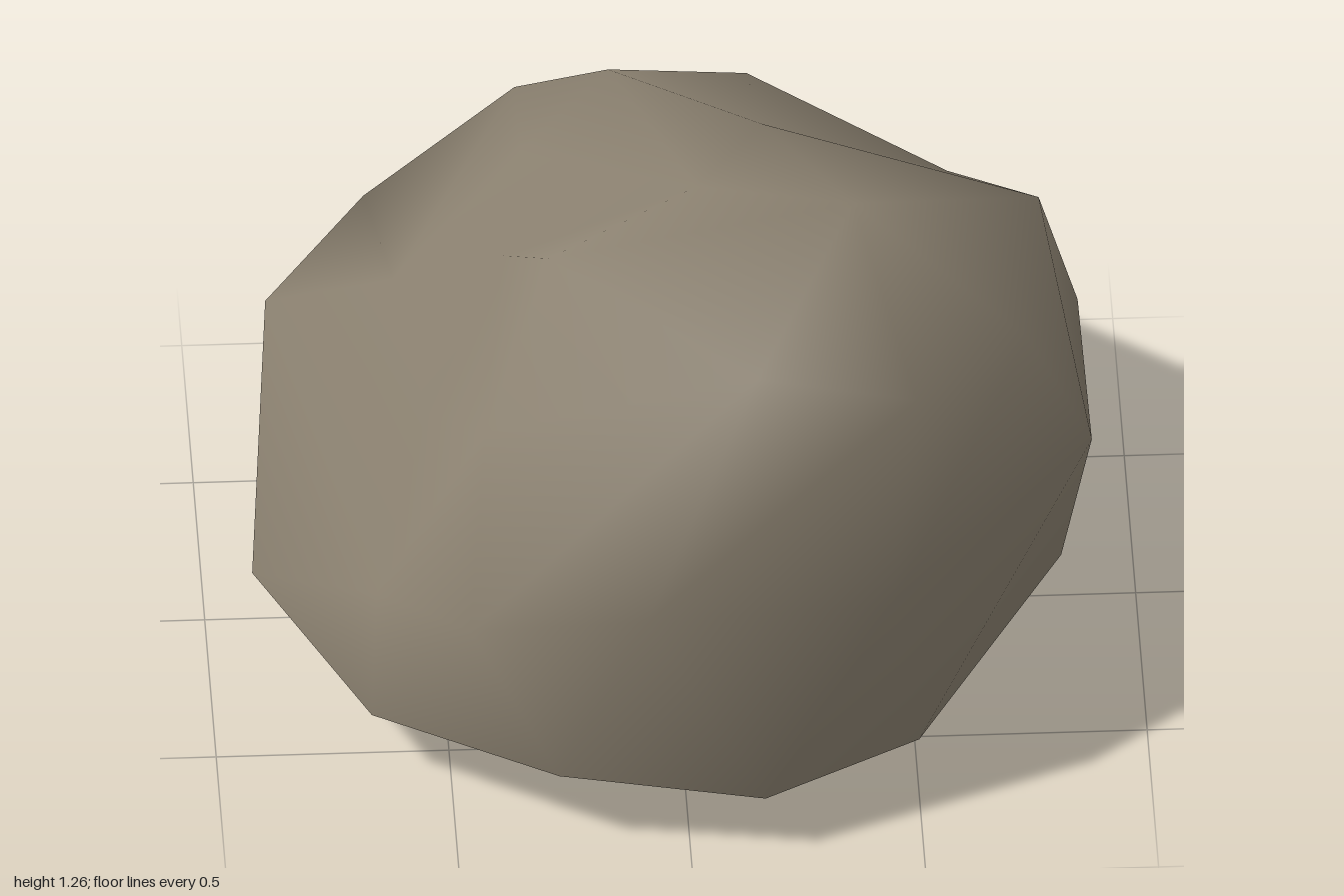
import * as THREE from 'three';
import { mergeVertices } from 'three/addons/utils/BufferGeometryUtils.js';

// Cross-sections of the boulder, each running from its +x side round by the front
const rim = [
  [0.84, 0.107, 0], [0.51, 0, 0.51], [0.16, 0.15, 0.915], [-0.28, 0.185, 0.86],
  [-0.67, 0.165, 0.59], [-0.9, 0.15, 0.04], [-0.85, 0.1, -0.51], [-0.35, 0.09, -0.8],
  [0.27, 0.11, -0.84], [0.64, 0.085, -0.48],
];
const waist = [
  [0.89, 0.645, 0.32], [0.44, 0.57, 0.8], [-0.1, 0.69, 1], [-0.47, 0.555, 0.83],
  [-0.66, 0.48, 0.58], [-0.845, 0.47, -0.51], [-0.62, 0.53, -0.8], [-0.05, 0.66, -1],
  [0.52, 0.47, -0.81], [0.89, 0.565, -0.3],
];
// Dips on the -x side to form the scooped hollow
const shoulder = [
  [0.75, 0.95, 0.36], [0.5, 0.98, 0.62], [0.15, 1.15, 0.76], [-0.43, 0.95, 0.65],
  [-0.53, 0.64, 0.15], [-0.58, 0.67, -0.3], [-0.3, 0.88, -0.7], [0.2, 0.87, -0.74],
  [0.62, 0.77, -0.5], [0.79, 1.08, 0.03],
];
// Crown corners, repeated where several shoulder points meet one corner
const peak = [0.38, 1.26, 0.28];
const brow = [-0.28, 1.21, 0.38];
const crest = [-0.37, 1.09, 0.2];
const saddle = [-0.31, 1.02, -0.27];
const nape = [-0.11, 1.08, -0.48];
const ridge = [0.2, 1.23, -0.06];
const crown = [peak, peak, brow, crest, crest, saddle, nape, ridge, ridge, peak];
const tip = [0.05, 1.2, 0.12];

function loftRings(rings, top) {
  const n = rings[0].length;
  const index = [];
  for (let r = 0; r < rings.length; r++) {
    for (let i = 0; i < n; i++) {
      const a = r * n + i;
      const b = r * n + (i + 1) % n;
      // The last ring closes onto the top point
      if (r === rings.length - 1) index.push(a, rings.length * n, b);
      else index.push(a, a + n, b, b, a + n, b + n);
    }
  }
  const geometry = new THREE.BufferGeometry();
  geometry.setAttribute('position', new THREE.Float32BufferAttribute([...rings.flat(2), ...top], 3));
  geometry.setIndex(index);
  const merged = mergeVertices(geometry);
  merged.computeVertexNormals();
  return merged;
}

export function createModel() {
  const group = new THREE.Group();
  group.name = 'boulder';
  const stone = new THREE.MeshStandardMaterial({ color: 0x8b8170, side: THREE.DoubleSide });
  stone.name = 'stone';

  // Smooth hollow shell, open underneath
  const shell = new THREE.Mesh(loftRings([rim, waist, shoulder, crown], tip), stone);
  shell.name = 'rockShell';
  group.add(shell);
  return group;
}
